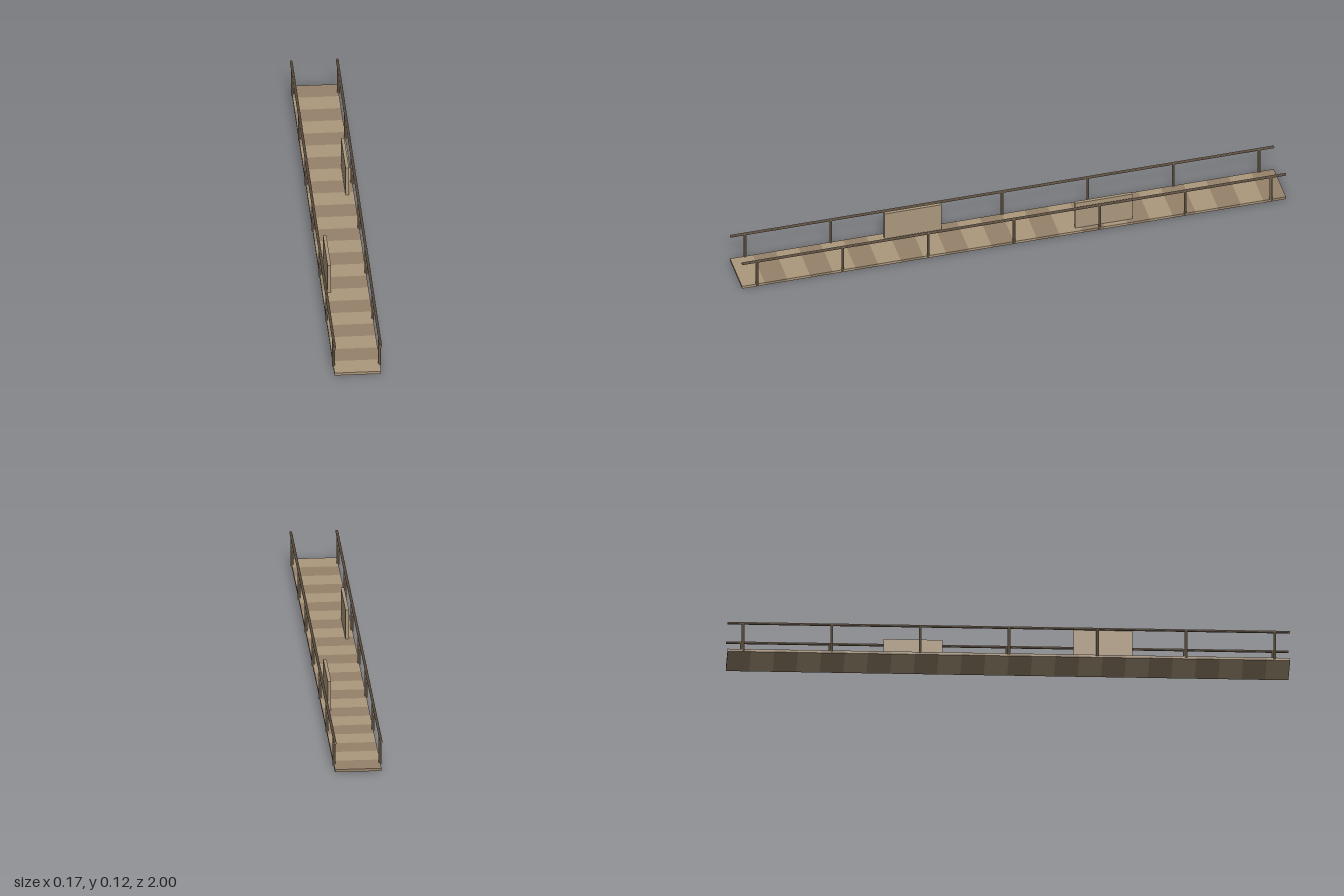
import * as THREE from 'three';

const light = new THREE.MeshStandardMaterial({ color: 0xab987c, flatShading: true });
const dark = new THREE.MeshStandardMaterial({ color: 0x96826a, flatShading: true });

export function createModel() {
  const model = new THREE.Group();
  model.name = 'footbridge';

  const add = (name, geometry, material, x, y, z) => {
    const mesh = new THREE.Mesh(geometry, material);
    mesh.name = name;
    mesh.position.set(x, y, z);
    model.add(mesh);
    return mesh;
  };

  // Deck of alternating planks laid across the walkway
  const planks = 24;
  const depth = 2 / planks;
  const plankGeometry = new THREE.BoxGeometry(0.166, 0.01, depth);
  for (let i = 0; i < planks; i++) {
    add('plank', plankGeometry, i % 2 ? light : dark, 0, 0.005, -1 + (i + 0.5) * depth);
  }

  const postGeometry = new THREE.CylinderGeometry(0.005, 0.005, 0.106, 8);
  const railGeometry = new THREE.CylinderGeometry(0.005, 0.005, 2, 8).rotateX(Math.PI / 2);
  const panelGeometry = new THREE.BoxGeometry(0.012, 0.111, 0.21);

  for (const side of [-1, 1]) {
    // Handrail on evenly spaced posts
    add('handrail', railGeometry, dark, side * 0.082, 0.111, 0);
    for (let i = -3; i <= 3; i++) {
      add('post', postGeometry, dark, side * 0.082, 0.058, i * 0.315);
    }
    // Upright screens, staggered along the deck
    add('screen', panelGeometry, light, side * 0.058, 0.0655, side * -0.335);
  }
  return model;
}
